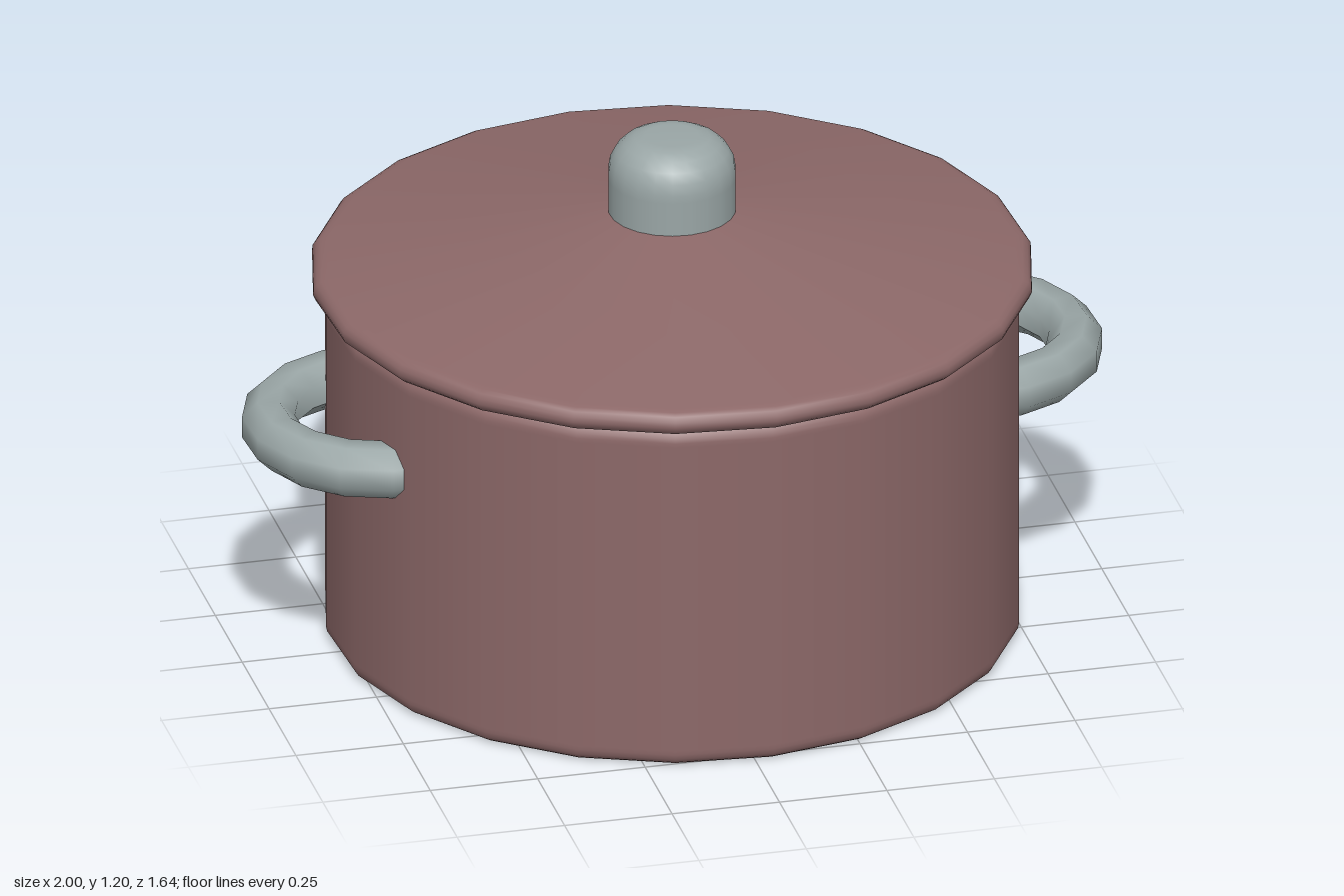
import * as THREE from 'three';

const SIDES = 22;
const TURN = 0.05; // slight twist of the whole pot about its axis

const enamel = new THREE.MeshStandardMaterial({ color: 0x8c6868 });
enamel.name = 'dusty brown enamel';
const metal = new THREE.MeshStandardMaterial({ color: 0x9aa6a6 });
metal.name = 'grey metal';

// Quarter-round corner points, angles in degrees
function arc(cx, cy, r, from, to, steps) {
  const pts = [];
  for (let i = 0; i <= steps; i++) {
    const a = THREE.MathUtils.degToRad(from + ((to - from) * i) / steps);
    pts.push([cx + r * Math.cos(a), cy + r * Math.sin(a)]);
  }
  return pts;
}

function lathe(name, profile, material, start = 0, length = Math.PI * 2, sides = SIDES) {
  const pts = profile.map(([x, y]) => new THREE.Vector2(Math.max(x, 0), y));
  const mesh = new THREE.Mesh(new THREE.LatheGeometry(pts, sides, start, length), material);
  mesh.name = name;
  return mesh;
}

export function createModel() {
  const pot = new THREE.Group();
  pot.name = 'cookingPot';

  // Body: straight wall with softened bottom and top edges
  pot.add(lathe('body', [
    [0, 0], [0.75, 0],
    ...arc(0.76, 0.03, 0.03, -90, 0, 4),
    [0.79, 0.04], [0.79, 0.8],
    ...arc(0.76, 0.81, 0.03, 0, 90, 4),
    [0.75, 0.84], [0, 0.84],
  ], enamel));

  // Lid: rounded rim and shallow cone
  pot.add(lathe('lid', [
    [0, 0.84], [0.78, 0.84],
    ...arc(0.793, 0.867, 0.027, -90, 75, 6),
    [0.785, 0.896], [0.145, 1.02], [0, 1.03],
  ], enamel));

  // Knob: short cylinder with a domed edge
  pot.add(lathe('knob', [
    [0.145, 1.01], [0.145, 1.1],
    ...arc(0.06, 1.118, 0.085, 0, 90, 5),
    [0, 1.203],
  ], metal));

  // Side handles: half rings sunk into the wall, opposite each other
  const section = arc(0.252, 0, 0.065, -157.5, 202.5, 8);
  for (const [name, turn] of [['leftHandle', 0], ['rightHandle', Math.PI]]) {
    const pivot = new THREE.Group();
    pivot.name = name;
    const ring = lathe(name + 'Ring', section, metal, -0.2, Math.PI + 0.4, 9);
    ring.position.set(0.69, 0.583, 0);
    pivot.add(ring);
    pivot.rotation.y = turn;
    pot.add(pivot);
  }

  pot.rotation.y = TURN;
  const model = new THREE.Group();
  model.name = 'pot';
  model.add(pot);
  return model;
}
